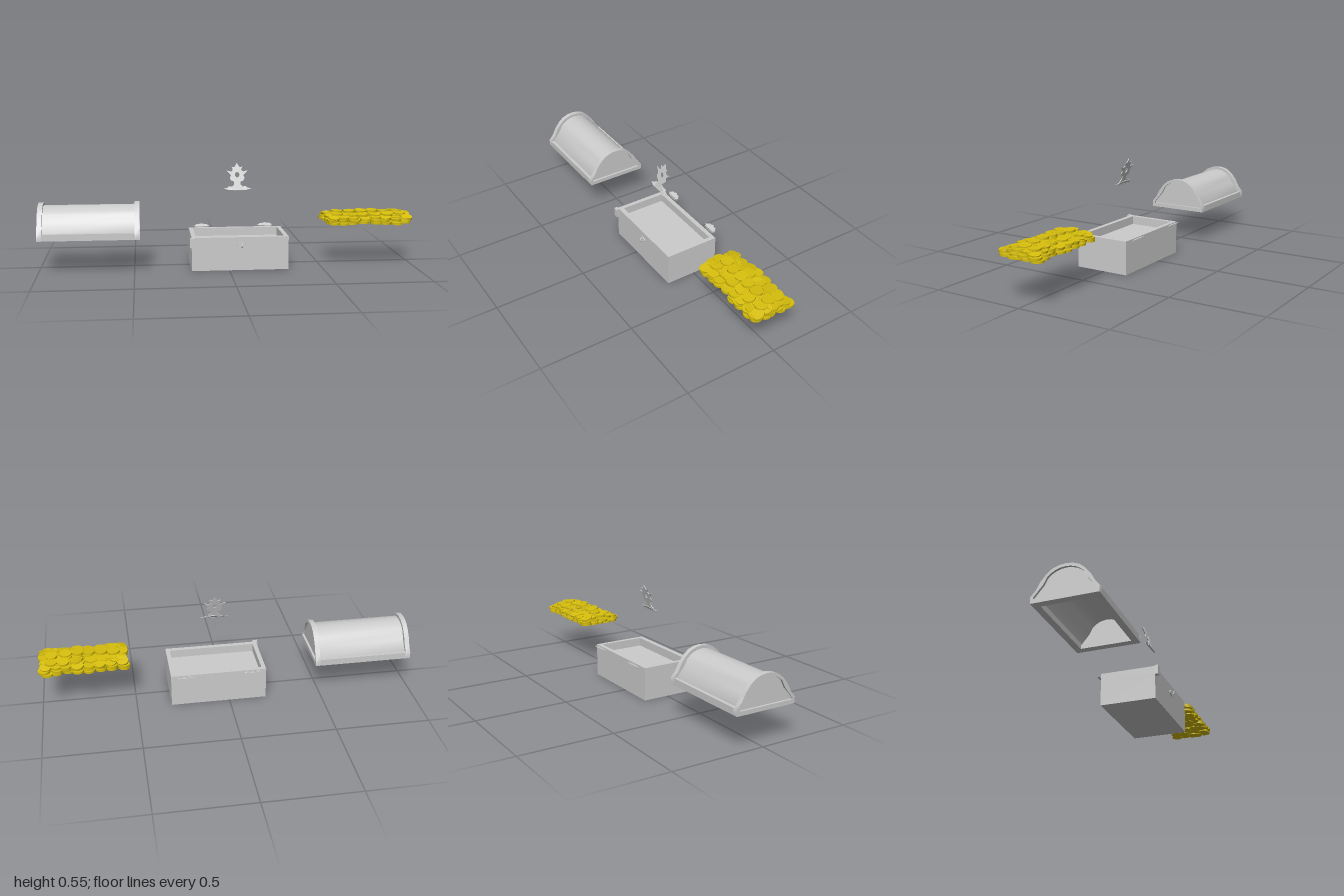
import * as THREE from 'three';
import { toCreasedNormals } from 'three/addons/utils/BufferGeometryUtils.js';

const grey = new THREE.MeshStandardMaterial({ color: 0xcccccc });
const gold = new THREE.MeshStandardMaterial({ color: 0xd6be0c });

function add(parent, name, geometry, pos = [0, 0, 0], rot = [0, 0, 0], material = grey) {
  const mesh = new THREE.Mesh(geometry, material);
  mesh.name = name;
  mesh.position.set(...pos);
  mesh.rotation.set(...rot);
  parent.add(mesh);
  return mesh;
}

function group(parent, name) {
  const g = new THREE.Group();
  g.name = name;
  parent.add(g);
  return g;
}

// Closed point list from one half of a symmetric outline (last point on the axis)
function mirrored(half) {
  const pts = half.map(([u, v]) => new THREE.Vector2(u, v));
  const other = half.filter(([u]) => u !== 0).reverse().map(([u, v]) => new THREE.Vector2(-u, v));
  return [...pts, ...other];
}

function extrude(shape, depth) {
  return new THREE.ExtrudeGeometry(shape, { depth, bevelEnabled: false, curveSegments: 16 });
}

// Extrude an outline drawn in z and y along x, starting at x0
function alongX(points, hole, x0, width) {
  const shape = new THREE.Shape(points);
  if (hole) shape.holes.push(new THREE.Path(hole));
  const geo = extrude(shape, width);
  geo.rotateY(Math.PI / 2);
  geo.translate(x0, 0, 0);
  return toCreasedNormals(geo, 0.7);
}

function rect(x0, y0, x1, y1) {
  return [[x0, y0], [x1, y0], [x1, y1], [x0, y1]].map(([x, y]) => new THREE.Vector2(x, y));
}

// Scalloped leaf plate, hinge line along x, growing up in y
function leafGeometry(halfWidth, height) {
  const w = halfWidth, h = height;
  const half = [[w * 0.7, 0], [w, h * 0.3], [w * 0.72, h * 0.45], [w * 0.62, h * 0.8],
    [w * 0.35, h * 0.75], [0, h]];
  const geo = extrude(new THREE.Shape(mirrored(half)), 0.003);
  geo.translate(0, 0, -0.0015);
  return geo;
}

function pinGeometry(length, radius = 0.004) {
  return new THREE.CylinderGeometry(radius, radius, length, 12).rotateZ(Math.PI / 2);
}

function buildChest(root) {
  const chest = group(root, 'chest');
  const x0 = -0.2, x1 = 0.315, z0 = -0.138, z1 = 0.16, top = 0.178, floor = 0.133;
  const cx = (x0 + x1) / 2, cz = (z0 + z1) / 2;
  add(chest, 'chestBody', new THREE.BoxGeometry(x1 - x0, floor, z1 - z0), [cx, floor / 2, cz]);
  const rim = new THREE.Shape(rect(x0, -z1, x1, -z0));
  rim.holes.push(new THREE.Path(rect(-0.177, -0.134, 0.292, 0.114)));
  add(chest, 'chestRim', extrude(rim, top - floor), [0, floor, 0], [-Math.PI / 2, 0, 0]);
  add(chest, 'cornerBracket', new THREE.BoxGeometry(0.026, 0.05, 0.018), [-0.197, 0.153, 0.169]);

  // Lock staple: oval plate with a ring standing on it
  const plate = new THREE.CylinderGeometry(0.025, 0.025, 0.006, 24).rotateX(Math.PI / 2);
  add(chest, 'staplePlate', plate, [0.065, 0.133, 0.163]).scale.y = 0.62;
  add(chest, 'stapleRing', new THREE.TorusGeometry(0.009, 0.004, 8, 20),
    [0.065, 0.133, 0.168], [0, Math.PI / 2, 0]);

  // Two hinges behind the back edge
  for (const x of [-0.125, 0.232]) {
    const hinge = group(chest, 'hinge');
    hinge.position.set(x, 0.179, -0.157);
    add(hinge, 'hingePin', pinGeometry(0.07, 0.003));
    add(hinge, 'hingeUpperLeaf', leafGeometry(0.046, 0.029), [0, 0, 0], [-1.15, 0, 0]);
    add(hinge, 'hingeLowerLeaf', leafGeometry(0.04, 0.017), [0, 0, 0], [Math.PI, 0, 0]);
  }
}

function buildLid(root) {
  const lid = group(root, 'lid');
  lid.position.set(-0.735, 0, 0.011);
  const W = 0.53, rib = 0.026;
  const outer = mirrored([[0.167, 0.178], [0.167, 0.212], [0.141, 0.243], [0.121, 0.282],
    [0.094, 0.316], [0.066, 0.339], [0.035, 0.351], [0, 0.355]]);
  const innerHalf = [[0.152, 0.2], [0.152, 0.209], [0.106, 0.265], [0.087, 0.302],
    [0.07, 0.317], [0.05, 0.329], [0.025, 0.337], [0, 0.34]];
  const inner = mirrored(innerHalf);

  // Arched end frames with a recessed panel in each
  for (const s of [-1, 1]) {
    const start = s < 0 ? -W / 2 : W / 2 - rib;
    add(lid, 'endFrame', alongX(outer, inner, start, rib));
    add(lid, 'endPanel', alongX(inner, null, s < 0 ? start + 0.012 : start, rib - 0.012));
  }

  // Hollow barrel between the frames
  const shell = [...inner.map(p => p.clone()),
    ...inner.map(p => new THREE.Vector2(p.x * 0.87, 0.2 + (p.y - 0.2) * 0.89)).reverse()];
  add(lid, 'barrel', alongX(shell, null, -W / 2 + rib, W - 2 * rib));

  // Base rails and inner end ledges
  for (const s of [-1, 1]) {
    add(lid, 'baseRail', new THREE.BoxGeometry(W - 2 * rib, 0.035, 0.035), [0, 0.1955, s * 0.1495]);
    add(lid, 'endLedge', new THREE.BoxGeometry(0.012, 0.022, 0.264),
      [s * (W / 2 - rib - 0.006), 0.189, 0]);
  }
}

function buildHasp(root) {
  const hasp = group(root, 'hasp');
  hasp.position.set(0.053, 0.414, 0.055);
  // Pointed ornamental leaf with a slot for the staple
  const half = [[0.03, 0], [0.033, 0.015], [0.018, 0.028], [0.017, 0.045], [0.032, 0.05],
    [0.04, 0.064], [0.034, 0.08], [0.058, 0.106], [0.032, 0.1], [0.022, 0.108],
    [0.03, 0.126], [0.014, 0.124], [0, 0.147]];
  const shape = new THREE.Shape(mirrored(half));
  const slot = new THREE.Path();
  slot.absellipse(0, 0.082, 0.012, 0.014, 0, Math.PI * 2, true);
  shape.holes.push(slot);
  add(hasp, 'haspLeaf', extrude(shape, 0.004).translate(0, 0, -0.002), [0, 0, 0], [-0.31, 0, 0]);
  add(hasp, 'haspBackLeaf', leafGeometry(0.075, 0.031), [0, 0, 0], [-0.83, 0, 0]);
  add(hasp, 'haspPin', pinGeometry(0.1));
}

function buildCoins(root) {
  const pile = group(root, 'coinPile');
  let seed = 7;
  const rnd = () => {
    seed = (seed * 16807) % 2147483647;
    return seed / 2147483647 - 0.5;
  };
  const coin = new THREE.CylinderGeometry(0.032, 0.032, 0.012, 18);
  // Layers of jittered rows: columns, rows, height, tilt
  const layers = [[8, 5, 0.231, 0.04], [8, 4, 0.249, 0.18], [8, 5, 0.269, 0.3], [6, 3, 0.281, 0.2]];
  layers.forEach(([nx, nz, y, tilt], k) => {
    const wx = k === 3 ? 0.34 : 0.4, wz = k === 3 ? 0.1 : 0.17;
    for (let i = 0; i < nx; i++) {
      for (let j = 0; j < nz; j++) {
        const u = i / (nx - 1) - 0.5, v = j / (nz - 1) - 0.5;
        const drop = k > 1 ? 0.04 * v * v : 0;
        add(pile, 'coin', coin,
          [0.765 + u * wx + rnd() * 0.02, y - drop + rnd() * 0.008, 0.01 + v * wz + rnd() * 0.018],
          [rnd() * tilt + v * tilt, rnd() * 3, rnd() * tilt - u * tilt * 0.4], gold);
      }
    }
  });
}

export function createModel() {
  const root = new THREE.Group();
  root.name = 'treasureChestParts';
  buildChest(root);
  buildLid(root);
  buildHasp(root);
  buildCoins(root);
  return root;
}
